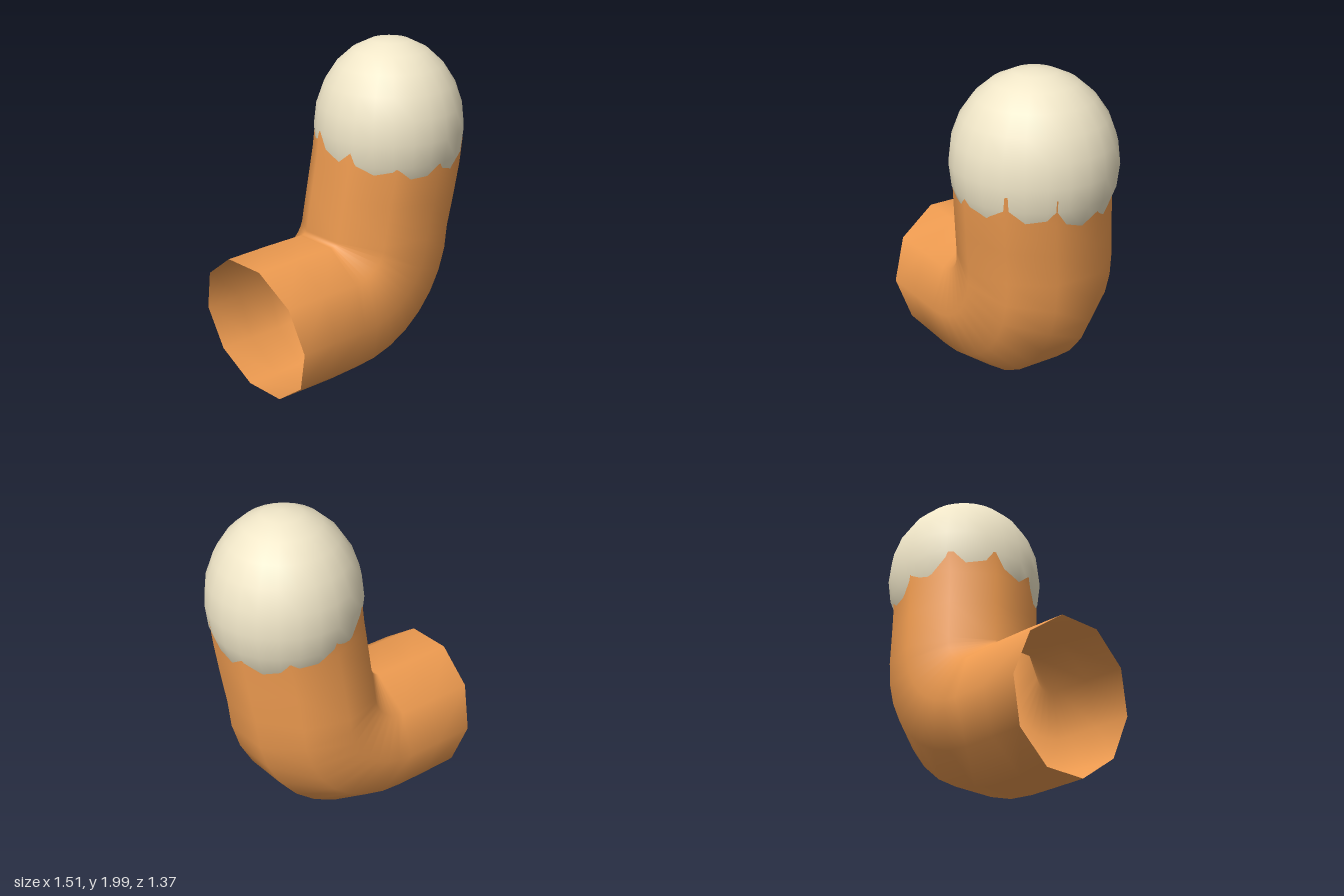
import * as THREE from 'three';

const SIDES = 10;
const RADIUS = 0.44;
// The elbow bends in the plane of "along" and y; "across" is its level normal
const along = new THREE.Vector3(0.756, 0, -0.655);
const across = new THREE.Vector3(0.655, 0, 0.756);
const up = new THREE.Vector3(0, 1, 0);

// Ring centres: [along, y, across, tilt in degrees]
function elbowPath() {
  const path = [[-0.585, 0.423, -0.043, 9], [-0.35, 0.427, -0.04, 4]];
  const bend = 0.45;
  for (let i = 0; i <= 8; i++) {
    const t = i / 8, a = t * Math.PI / 2;
    path.push([-0.13 + bend * Math.sin(a), 0.88 - bend * Math.cos(a), -0.035 + 0.025 * t, 90 * t]);
  }
  path.push([0.342, 1.1, 0.015, 86], [0.362, 1.3, 0.036, 85], [0.378, 1.45, 0.04, 85]);
  return path;
}

function elbowGeometry() {
  const positions = [], index = [];
  const path = elbowPath();
  path.forEach(([u, y, v, tilt], r) => {
    const a = THREE.MathUtils.degToRad(tilt);
    const centre = along.clone().multiplyScalar(u).addScaledVector(up, y).addScaledVector(across, v);
    const ringUp = along.clone().multiplyScalar(-Math.sin(a)).addScaledVector(up, Math.cos(a));
    for (let s = 0; s < SIDES; s++) {
      const phi = s / SIDES * Math.PI * 2;
      const p = centre.clone()
        .addScaledVector(across, RADIUS * Math.cos(phi))
        .addScaledVector(ringUp, RADIUS * Math.sin(phi));
      positions.push(p.x, Math.max(0, p.y), p.z);
      if (r === 0) continue;
      const n = (s + 1) % SIDES;
      const a0 = (r - 1) * SIDES + s, a1 = (r - 1) * SIDES + n;
      const b0 = r * SIDES + s, b1 = r * SIDES + n;
      index.push(a0, b1, a1, a0, b0, b1);
    }
  });
  const geometry = new THREE.BufferGeometry();
  geometry.setAttribute('position', new THREE.Float32BufferAttribute(positions, 3));
  geometry.setIndex(index);
  // Make sure the faces look outward: the first face must point away from the ring centre
  const corner = i => new THREE.Vector3().fromArray(positions, index[i] * 3);
  const normal = new THREE.Triangle(corner(0), corner(1), corner(2)).getNormal(new THREE.Vector3());
  if (normal.dot(across) < 0) geometry.setIndex(index.reverse());
  geometry.computeVertexNormals();
  return geometry;
}

export function createModel() {
  const model = new THREE.Group();

  // Open-ended bent tube
  const elbow = new THREE.Mesh(
    elbowGeometry(),
    new THREE.MeshStandardMaterial({ color: 0xee9b50, side: THREE.DoubleSide })
  );
  elbow.name = 'elbowTube';
  model.add(elbow);

  // Slightly stretched ball seated in the upper end
  const ball = new THREE.Mesh(
    new THREE.SphereGeometry(1, 24, 12),
    new THREE.MeshStandardMaterial({ color: 0xf0e6c8 })
  );
  ball.name = 'ball';
  ball.scale.set(0.44, 0.52, 0.468);
  ball.position.set(0.316, 1.48, -0.22);
  model.add(ball);

  return model;
}
